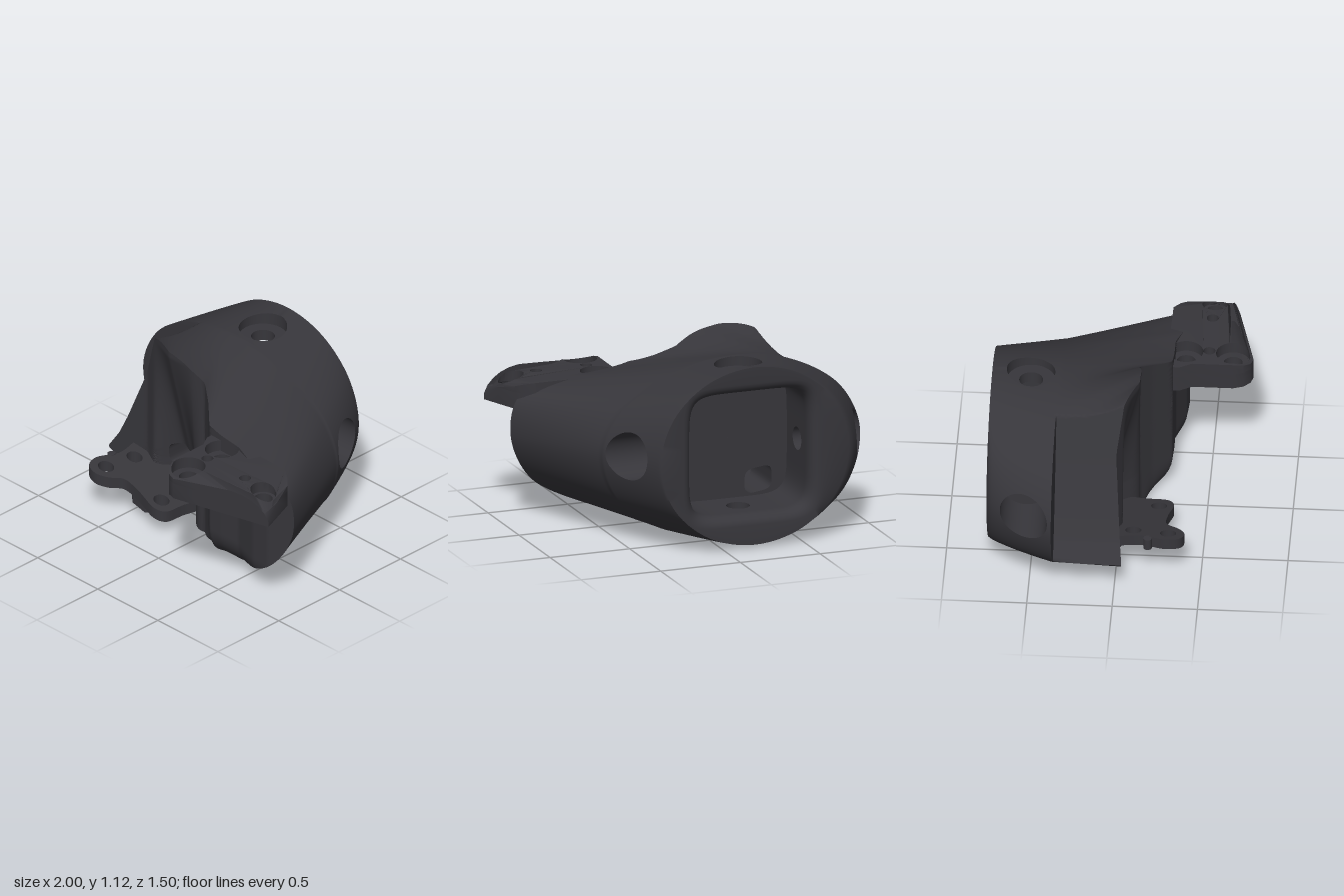
import * as THREE from 'three';
import { toCreasedNormals } from 'three/addons/utils/BufferGeometryUtils.js';

const SEG = 216;
const SOCKET = new THREE.Vector3(-0.17, 0.57, -0.525); // where the four cross bores meet
const FLOOR_Z = -0.36, WALL = 0.37, SEAT = 0.44, BORE = 0.07, SEAT_R = 0.142;
const lerp = THREE.MathUtils.lerp, smooth = THREE.MathUtils.smoothstep;
const material = new THREE.MeshStandardMaterial({ color: 0x37363b, side: THREE.DoubleSide });

function table(points, x) {
  if (x <= points[0][0]) return points[0][1];
  for (let i = 1; i < points.length; i++) {
    const [x0, y0] = points[i - 1], [x1, y1] = points[i];
    if (x <= x1) return lerp(y0, y1, (x - x0) / (x1 - x0));
  }
  return points.at(-1)[1];
}

// closed smooth section through [x, y] points
function section(points) {
  const curve = new THREE.CatmullRomCurve3(points.map(([x, y]) => new THREE.Vector3(x, y, 0)), true);
  return Array.from({ length: SEG }, (_, i) => curve.getPoint(i / SEG));
}

const BACK = section(Array.from({ length: 12 }, (_, i) => {
  const a = Math.PI + i * Math.PI / 6;
  return [-0.19 + 0.59 * Math.cos(a), 0.56 + 0.54 * Math.sin(a)];
}));
const MIDDLE = section([[-1, .52], [-.88, .22], [-.5, .07], [-.1, 0], [.25, .06], [.53, .27],
  [.62, .55], [.52, .78], [.25, .96], [-.1, 1.06], [-.5, 1.03], [-.87, .82]]);
const FRONT = section([[-.98, .5], [-.9, .22], [-.5, .08], [-.02, 0], [.4, .05], [.78, .22],
  [.93, .5], [.88, .74], [.58, .835], [.2, .9], [-.2, 1.1], [-.51, 1.09]]);

// slanted left flank of the front half
const flank = (x, y) => Math.max(x, table([[0.2, -0.88], [0.32, -0.8], [0.45, -0.74], [0.75, -0.62], [1.09, -0.5]], y));

// front face: diagonal shoulder, channel deepening downward, rounded lower edge
function frontZ(x, y) {
  const base = table([[-0.9, 0.05], [-0.6, 0.0], [-0.5, 0.04], [-0.3, 0.12], [-0.12, 0.12], [-0.02, 0.1], [0.08, 0.17],
    [0.2, 0.28], [0.3, 0.285], [0.45, 0.285], [0.62, 0.34], [0.75, 0.35], [0.93, 0.31]], x);
  const channel = smooth(x, -0.52, -0.36) * (1 - smooth(x, -0.3, -0.04)) * Math.min(1, Math.max(0, (1.08 - y) / 0.8));
  const k = Math.min(1, Math.max(0, (0.2 - y) / 0.2));
  return base - 0.2 * channel - 0.19 * smooth(x, 0, 0.3) * (1 - Math.sqrt(1 - k * k));
}

// rounded-square ring of the socket
function socketRing(half, z) {
  return BACK.map(p => {
    const a = Math.atan2(p.y - SOCKET.y, p.x - SOCKET.x), c = Math.cos(a), s = Math.sin(a);
    const r = half / Math.pow(Math.abs(c) ** 6 + Math.abs(s) ** 6, 1 / 6);
    return new THREE.Vector3(SOCKET.x + r * c, SOCKET.y + r * s, z);
  });
}

// holes: signed distance to the rim, negative inside
const radials = [[1, 0], [-1, 0], [0, 1], [0, -1]].map(([x, y]) => new THREE.Vector3(x, y, 0));
function radialHole(dir, r, from, to) {
  return p => {
    const rel = p.clone().sub(SOCKET), a = rel.dot(dir);
    return a > from && a < to ? rel.addScaledVector(dir, -a).length() - r : Infinity;
  };
}
const seatHoles = radials.map(dir => radialHole(dir, SEAT_R, 0.435, 2));
const boreHoles = radials.map(dir => radialHole(dir, BORE, 0.3, 0.435));
const windowHole = p => {
  const x = p.x + 0.36, y = (p.y - 0.295 + 0.15 * x) * 1.15;
  return Math.pow(x ** 4 + y ** 4, 0.25) - 0.085;
};

// slide inner vertices along grid edges onto the rim; returns the rim points
function punch(points, removed, hole) {
  const dist = points.map(hole), rim = new Map();
  const rowCount = points.length / SEG, mid = new THREE.Vector3();
  dist.forEach((d, id) => {
    if (d >= 0) return;
    const j = Math.floor(id / SEG), i = id % SEG;
    let best = Infinity;
    for (const [dj, di] of [[0, 1], [0, -1], [1, 0], [-1, 0], [1, 1], [-1, -1]]) {
      if (j + dj < 0 || j + dj >= rowCount) continue;
      const n = (j + dj) * SEG + (i + di + SEG) % SEG;
      if (dist[n] < 0) continue;
      let lo = 0, hi = 1;
      for (let k = 0; k < 20; k++) {
        const m = (lo + hi) / 2;
        if (hole(mid.lerpVectors(points[id], points[n], m)) < 0) lo = m; else hi = m;
      }
      const move = hi * points[id].distanceTo(points[n]);
      if (move < best) {
        best = move;
        rim.set(id, points[id].clone().lerp(points[n], hi));
      }
    }
  });
  rim.forEach((p, id) => points[id].copy(p));
  removed.push(ids => ids.every(id => dist[id] < 0));
  return [...rim.values()];
}

// wall from a rim to its projection, ordered by angle about the centre of the hole
function rimWall(rim, angle, project) {
  const sorted = rim.map(p => [angle(p), p]).sort((a, b) => a[0] - b[0]).map(e => e[1]);
  const points = sorted.flatMap(p => [p, project(p.clone())]), index = [], n = points.length;
  for (let i = 0; i < n; i += 2) index.push(i, i + 1, (i + 2) % n, i + 1, (i + 3) % n, (i + 2) % n);
  return toCreasedNormals(new THREE.BufferGeometry().setFromPoints(points).setIndex(index), 0.9);
}

function bodyRows() {
  const rows = [];
  // socket floor, walls and rounded mouth
  for (let j = 0; j <= 20; j++) rows.push(socketRing(Math.max(0.001, WALL * j / 20), FLOOR_Z));
  for (let j = 1; j <= 18; j++) rows.push(socketRing(WALL, lerp(FLOOR_Z, -0.67, j / 18)));
  for (let j = 1; j <= 5; j++) {
    const a = j / 5 * Math.PI / 2;
    rows.push(socketRing(WALL + 0.06 * (1 - Math.cos(a)), -0.67 - 0.08 * Math.sin(a)));
  }
  // rear half, rounding out quickly behind the rim on the right-hand wing
  for (let j = 0; j <= 26; j++) {
    const t = j / 26;
    rows.push(BACK.map((p, i) => {
      const v = p.clone().lerp(MIDDLE[i], Math.pow(t, p.x < -0.19 ? 0.65 : 0.9));
      v.z = lerp(-0.75, -0.36, t);
      return v;
    }));
  }
  // front half, stepped in along the flank
  for (let j = 0; j <= 26; j++) {
    const t = j / 26;
    rows.push(MIDDLE.map((p, i) => {
      const f = FRONT[i], v = p.clone().lerp(f, t);
      v.x = flank(v.x, v.y);
      v.z = lerp(-0.355, frontZ(flank(f.x, f.y), f.y), t);
      return v;
    }));
  }
  // front face
  for (let j = 1; j <= 50; j++) {
    const t = Math.max(0.001, 1 - j / 50);
    rows.push(FRONT.map(p => {
      const x = lerp(0, flank(p.x, p.y), t), y = lerp(0.5, p.y, t);
      return new THREE.Vector3(x, y, frontZ(x, y));
    }));
  }
  return rows.flat();
}

function bodyGeometry(points, removed) {
  const index = [];
  const face = (...ids) => { if (!removed.some(test => test(ids))) index.push(...ids); };
  for (let a0 = 0; a0 < points.length - SEG; a0 += SEG) for (let i = 0; i < SEG; i++) {
    const a = a0 + i, b = a0 + (i + 1) % SEG;
    face(a, b, b + SEG);
    face(a, b + SEG, a + SEG);
  }
  return toCreasedNormals(new THREE.BufferGeometry().setFromPoints(points).setIndex(index), 0.95);
}

// flat plate from an [x, z] outline with round [x, z, r] holes, heights set by a rule
function plateGeometry(outline, holes, top, depth, rule) {
  const shape = new THREE.Shape(outline.map(([x, z]) => new THREE.Vector2(x, z)));
  for (const [x, z, r] of holes) shape.holes.push(new THREE.Path().absarc(x, z, r, 0, Math.PI * 2, true));
  const g = new THREE.ExtrudeGeometry(shape, { depth, bevelEnabled: false, curveSegments: 24 });
  g.rotateX(Math.PI / 2).translate(0, top, 0);
  const p = g.attributes.position;
  for (let i = 0; i < p.count; i++) p.setY(i, rule(p.getX(i), p.getY(i), p.getZ(i)));
  return toCreasedNormals(g, 0.6);
}

export function createModel() {
  const group = new THREE.Group();
  const add = (name, geometry) => {
    const mesh = new THREE.Mesh(geometry, material);
    mesh.name = name;
    group.add(mesh);
    return mesh;
  };

  // counterbored cross holes: side wall, seat and bore
  const points = bodyRows(), removed = [];
  radials.forEach((dir, k) => {
    const rim = punch(points, removed, seatHoles[k]);
    punch(points, removed, boreHoles[k]);
    const angle = p => Math.atan2(p.z - SOCKET.z, (p.x - SOCKET.x) * dir.y + (p.y - SOCKET.y) * dir.x);
    const toSeat = p => p.addScaledVector(dir, SEAT - p.clone().sub(SOCKET).dot(dir));
    add('counterboreWall', rimWall(rim, angle, toSeat));
    const seat = add('counterboreSeat', new THREE.RingGeometry(BORE, SEAT_R, 48));
    seat.position.copy(SOCKET).addScaledVector(dir, SEAT);
    seat.quaternion.setFromUnitVectors(new THREE.Vector3(0, 0, 1), dir);
    const bore = add('crossBore', new THREE.CylinderGeometry(BORE, BORE, SEAT - WALL, 32, 1, true));
    bore.position.copy(SOCKET).addScaledVector(dir, (SEAT + WALL) / 2);
    bore.quaternion.setFromUnitVectors(new THREE.Vector3(0, 1, 0), dir);
  });

  // window from the front channel into the socket
  const windowRim = punch(points, removed, windowHole).filter(p => p.z > FLOOR_Z + 0.02);
  add('windowTunnel', rimWall(windowRim, p => Math.atan2(p.y - 0.295, p.x + 0.36), p => p.setZ(FLOOR_Z)));
  add('body', bodyGeometry(points, removed));

  // upper mounting flap in two layers, so the screw seats are recessed
  const flap = [[0.22, 0.24], [0.22, 0.32], [0.26, 0.39], [0.26, 0.63], [0.28, 0.69], [0.32, 0.73], [0.37, 0.745],
    [0.56, 0.695], [0.75, 0.645], [0.82, 0.626], [0.88, 0.61], [0.93, 0.597], [0.97, 0.587], [0.995, 0.58],
    [0.95, 0.46], [0.9, 0.33], [0.86, 0.29], [0.8, 0.25]];
  const screws = [[0.375, 0.35], [0.375, 0.625], [0.86, 0.49]], pins = [[0.39, 0.485, 0.035], [0.705, 0.485, 0.035]];
  const crown = (x, y, z) => Math.min(y, 0.84 - 0.4 * Math.max(0, z - 0.65),
    0.67 + 0.17 * Math.sqrt(Math.max(0, 1 - (Math.max(0, x - 0.75) / 0.25) ** 2)));
  add('upperFlapBase', plateGeometry(flap, [...screws.map(([x, z]) => [x, z, 0.056]), ...pins], 0.77, 0.1, crown));
  add('upperFlapTop', plateGeometry(flap, [[0.375, 0.35, 0.1], [0.375, 0.625, 0.1], [0.86, 0.49, 0.075], ...pins],
    0.84, 0.07, crown));

  // lower three-hole bracket, sloping down to the right
  const lobes = new THREE.CatmullRomCurve3([[-.7, -.12], [-.7, 0], [-.68, .15], [-.725, .3], [-.7, .38], [-.63, .4],
    [-.56, .36], [-.5, .29], [-.38, .29], [-.22, .315], [-.165, .28], [-.15, .15], [-.13, .02], [-.14, -.12]]
    .map(([x, z]) => new THREE.Vector3(x, z, 0)), true).getPoints(90).slice(0, -1).map(p => [p.x, p.y]);
  const slope = (x, y) => y - 0.25 * (x + 0.45);
  add('lowerBracket', plateGeometry(lobes, [[-.605, .1, .047], [-.635, .305, .047], [-.25, .23, .047]], 0.225, 0.07, slope));
  add('bracketNub', new THREE.CylinderGeometry(0.025, 0.025, 0.07, 16).translate(-0.705, 0.25, 0.19));

  // web under the bracket
  add('bracketWeb', plateGeometry([[-.53, -.15], [-.53, .2], [-.46, .26], [-.36, .26], [-.32, .2], [-.32, -.15]],
    [], 0.16, 0.08, slope));
  return group;
}
